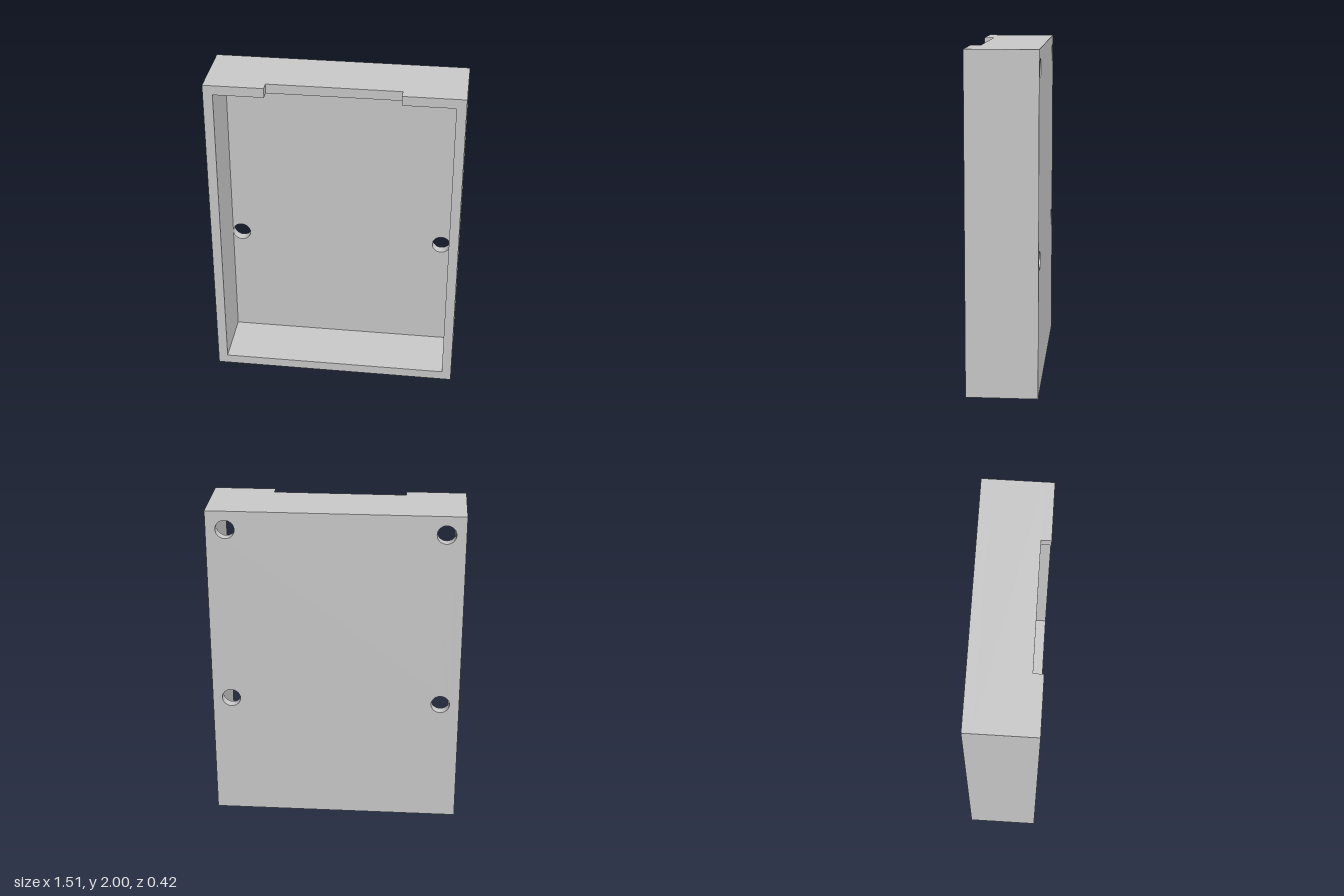
import * as THREE from 'three';
import { toCreasedNormals } from 'three/addons/utils/BufferGeometryUtils.js';

const W = 0.755, H = 2, D = 0.21;      // half width, height, half depth
const T = 0.058;                       // wall thickness
const NOTCH = [-0.398, 0.39], NOTCH_Z = 0.15;

const polygon = (points) => new THREE.Shape(points.map(([x, y]) => new THREE.Vector2(x, y)));
const rect = (x, y0, y1) => polygon([[-x, y0], [x, y0], [x, y1], [-x, y1]]);

export function createModel() {
  const group = new THREE.Group();
  const material = new THREE.MeshStandardMaterial({ color: 0xcccccc });

  // Extrudes an outline between two depths
  const slab = (name, shape, z0, z1) => {
    const geometry = new THREE.ExtrudeGeometry(shape, {
      depth: z1 - z0, bevelEnabled: false, curveSegments: 48,
    });
    geometry.translate(0, 0, z0);
    const mesh = new THREE.Mesh(toCreasedNormals(geometry, 0.5), material);
    mesh.name = name;
    group.add(mesh);
  };

  // Back plate with four screw holes
  const plate = rect(W, 0, H);
  for (const x of [-0.641, 0.641]) {
    for (const y of [0.79, 1.888]) {
      plate.holes.push(new THREE.Path().absarc(x, y, 0.056, 0, Math.PI * 2, true));
    }
  }
  slab('backPlate', plate, -D, -D + T);

  // Continuous surrounding wall
  const wall = rect(W, 0, H);
  wall.holes.push(rect(W - T, T, H - T));
  slab('sideWalls', wall, -D + T, NOTCH_Z);

  // Front rim, left open at the top where the notch is cut
  const x = W - T, y = H - T, [n0, n1] = NOTCH;
  slab('notchedRim', polygon([
    [-W, 0], [W, 0], [W, H], [n1, H], [n1, y], [x, y],
    [x, T], [-x, T], [-x, y], [n0, y], [n0, H], [-W, H],
  ]), NOTCH_Z, D);

  return group;
}
